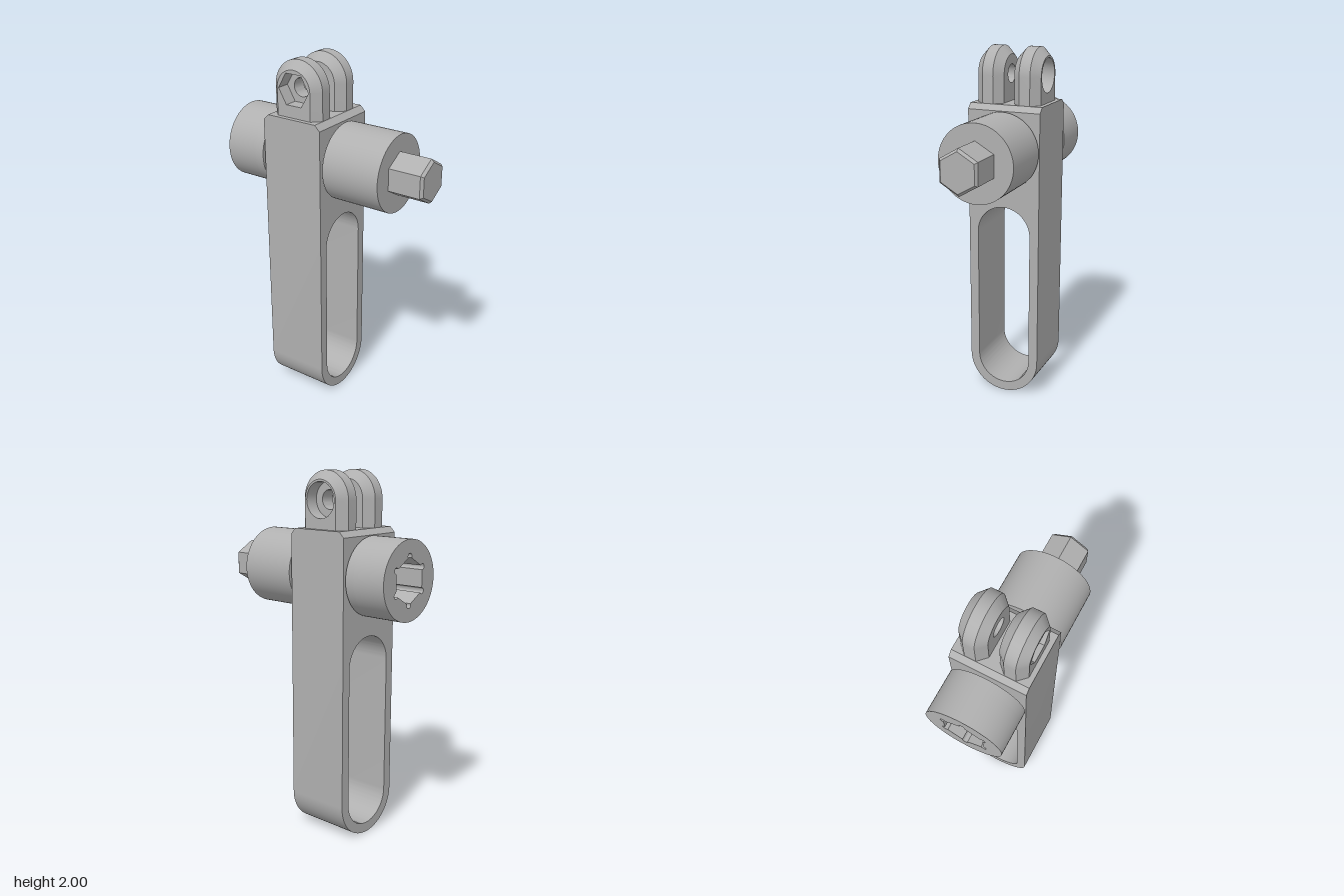
import * as THREE from 'three';
import { mergeGeometries, toCreasedNormals } from 'three/addons/utils/BufferGeometryUtils.js';

const CREASE = 0.6;
const AXLE_Y = 1.457;   // height of the drive axle
const BODY_X0 = -0.328, BODY_X1 = 0.036, BODY_MID = -0.146;

const grey = new THREE.MeshStandardMaterial({ color: 0xb0b0b0 });
grey.name = 'plain grey';

const crease = (g) => toCreasedNormals(g.index ? g.toNonIndexed() : g, CREASE);

function add(parent, name, geometry) {
  const mesh = new THREE.Mesh(geometry, grey);
  mesh.name = name;
  parent.add(mesh);
  return mesh;
}

// Counter-clockwise polygon of n points around (0, cy)
function ring(r, n, cy = 0, start = 0) {
  return Array.from({ length: n }, (_, i) => {
    const a = start + (i / n) * Math.PI * 2;
    return new THREE.Vector2(r * Math.cos(a), cy + r * Math.sin(a));
  });
}

function shapeWithHole(outer, hole) {
  const shape = new THREE.Shape(outer);
  if (hole) shape.holes.push(new THREE.Path(hole));
  return shape;
}

// Extrude a (z, y) profile along x
function extrudeX(shape, x0, x1, y = 0) {
  const g = new THREE.ExtrudeGeometry(shape, { depth: x1 - x0, bevelEnabled: false, curveSegments: 32 });
  return crease(g.rotateY(Math.PI / 2).translate(x0, y, 0));
}

function cylinderX(r, x0, x1) {
  return new THREE.CylinderGeometry(r, r, x1 - x0, 64)
    .rotateZ(-Math.PI / 2).translate((x0 + x1) / 2, AXLE_Y, 0);
}

// Strip of quads between two matching outlines at different z
function strip(a, za, b, zb, closed) {
  const pos = [];
  const n = a.length;
  for (let i = 0; i < (closed ? n : n - 1); i++) {
    const j = (i + 1) % n;
    const p = [a[i].x, a[i].y, za], q = [a[j].x, a[j].y, za];
    const r = [b[j].x, b[j].y, zb], s = [b[i].x, b[i].y, zb];
    pos.push(...p, ...q, ...r, ...p, ...r, ...s);
  }
  const g = new THREE.BufferGeometry();
  g.setAttribute('position', new THREE.Float32BufferAttribute(pos, 3));
  return g;
}

function flat(outer, hole, z) {
  const g = new THREE.ShapeGeometry(shapeWithHole(outer, hole)).toNonIndexed().translate(0, 0, z);
  g.deleteAttribute('uv');
  g.deleteAttribute('normal');
  return g;
}

// Arch outline of a lug, inset by d
function arch(d) {
  const r = 0.151 - d, cy = 1.849;
  const pts = [new THREE.Vector2(r, 1.69)];
  for (let i = 0; i <= 32; i++) {
    const a = (i / 32) * Math.PI;
    pts.push(new THREE.Vector2(r * Math.cos(a), cy + r * Math.sin(a)));
  }
  pts.push(new THREE.Vector2(-r, 1.69));
  return pts;
}

// Chamfered lug with a bolt bore and a recess in its outer (+z) face
function lugGeometry(recess) {
  const z0 = 0.03, z1 = 0.184, c = 0.046, floor = 0.11;
  const small = arch(c), big = arch(0);
  const bore = ring(0.051, 32, 1.849);
  const reversed = (pts) => pts.slice().reverse();
  const parts = [
    strip(small, z0, big, z0 + c),
    strip(big, z0 + c, big, z1 - c),
    strip(big, z1 - c, small, z1),
    strip(reversed(bore), z0, reversed(bore), floor, true),
    strip(reversed(recess), floor, reversed(recess), z1, true),
    flat(small, recess, z1),
    flat(recess, bore, floor),
    flat(small, bore, 0).rotateY(Math.PI).translate(0, 0, z0),
  ];
  return toCreasedNormals(mergeGeometries(parts), CREASE);
}

// Hexagonal outline with rounded reliefs at the corners
function socketOutline() {
  const pts = [];
  for (let k = 0; k < 6; k++) {
    const a = Math.PI / 2 + k * Math.PI / 3;
    for (let i = 0; i <= 10; i++) {
      const t = a + (i / 10 - 0.5) * Math.PI * 4 / 3;
      pts.push(new THREE.Vector2(
        0.125 * Math.cos(a) + 0.016 * Math.cos(t),
        0.125 * Math.sin(a) + 0.016 * Math.sin(t)));
    }
  }
  return pts;
}

export function createModel() {
  const model = new THREE.Group();
  model.name = 'ratchetHandle';

  // Handle with round bottom and long slot
  const w = 0.21, s = 0.157;
  const outline = new THREE.Shape();
  outline.moveTo(w, 1.67);
  outline.lineTo(-w, 1.67);
  outline.lineTo(-w, w);
  outline.absarc(0, w, w, Math.PI, Math.PI * 2, false);
  outline.closePath();
  const slot = new THREE.Path();
  slot.absarc(0, 0.977, s, 0, Math.PI, false);
  slot.absarc(0, 0.212, s, Math.PI, Math.PI * 2, false);
  slot.closePath();
  outline.holes.push(slot);
  add(model, 'handle', extrudeX(outline, BODY_X0, BODY_X1));

  // Chamfered top of the handle
  const top = new THREE.Shape([
    [BODY_X0, 1.67], [BODY_X1, 1.67], [BODY_X1 - 0.03, 1.7], [BODY_X0 + 0.03, 1.7],
  ].map(([x, y]) => new THREE.Vector2(x, y)));
  add(model, 'chamferedTop', crease(
    new THREE.ExtrudeGeometry(top, { depth: 2 * w, bevelEnabled: false }).translate(0, 0, -w)));

  // Pair of mounting lugs: hexagonal nut recess in front, round recess behind
  add(model, 'frontLug', lugGeometry(ring(0.096, 6, 1.849))).position.x = BODY_MID;
  const backLug = add(model, 'backLug', lugGeometry(ring(0.094, 40, 1.849)));
  backLug.position.x = BODY_MID;
  backLug.rotation.y = Math.PI;

  // Axle and drums
  add(model, 'axleNeck', cylinderX(0.152, -0.35, 0.06));
  add(model, 'driveDrum', cylinderX(0.212, 0.053, 0.388));
  add(model, 'socketDrumBase', cylinderX(0.212, -0.395, -0.343));
  add(model, 'socketDrum', extrudeX(
    shapeWithHole(ring(0.212, 64), socketOutline()), -0.585, -0.395, AXLE_Y));

  // Hexagonal drive stub with chamfered tip
  const profile = [[0.122, 0], [0.122, 0.183], [0.107, 0.198], [0, 0.198]]
    .map(([r, y]) => new THREE.Vector2(r, y));
  const stub = new THREE.LatheGeometry(profile, 6, Math.PI / 6)
    .rotateZ(-Math.PI / 2).translate(0.387, AXLE_Y, 0);
  add(model, 'hexDrive', crease(stub));

  return model;
}
